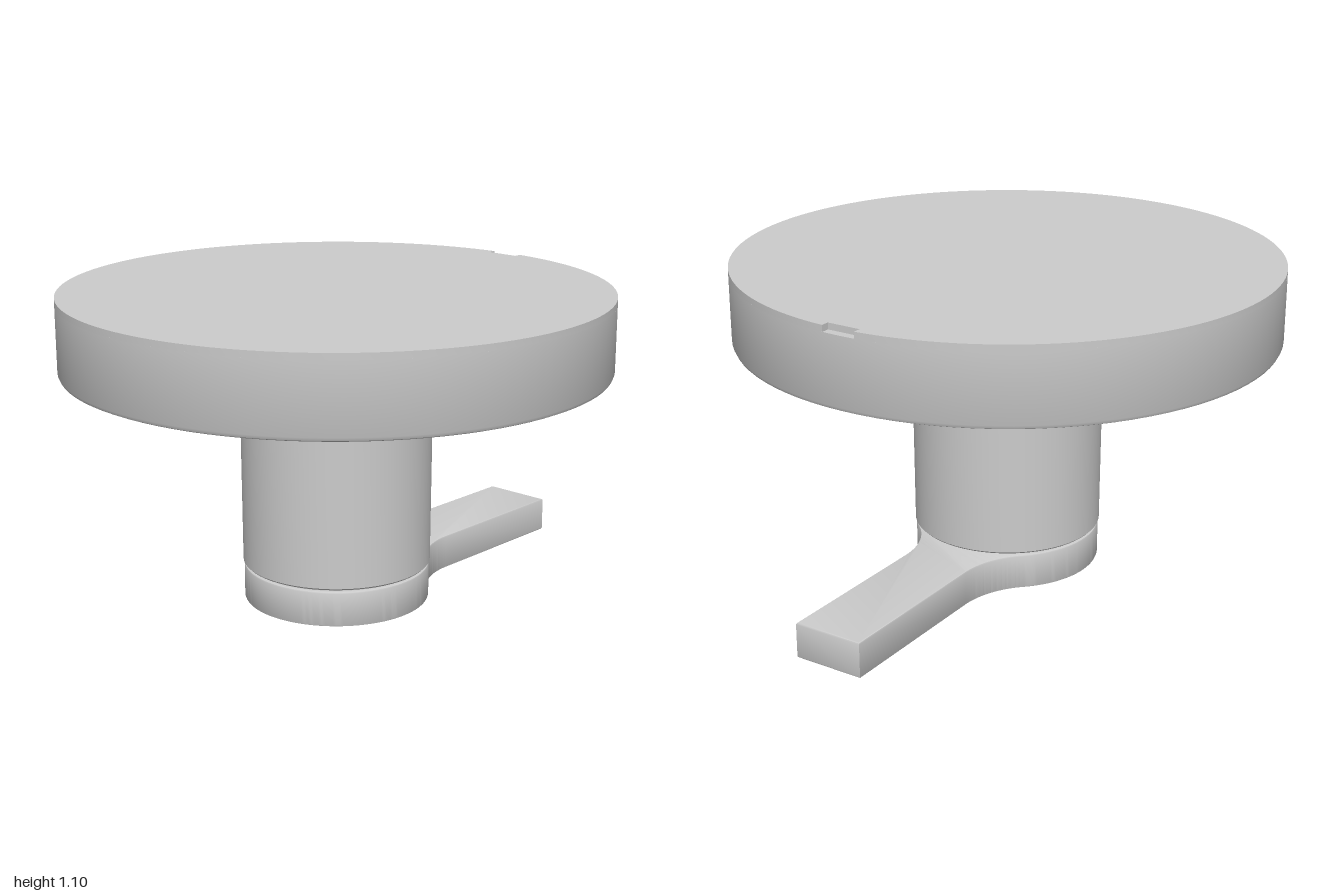
import * as THREE from 'three';
import { toCreasedNormals } from 'three/addons/utils/BufferGeometryUtils.js';

const AXIS_Z = 0.052; // the round parts share this vertical axis
const material = new THREE.MeshStandardMaterial({ color: 0xcccccc, side: THREE.DoubleSide });

function addMesh(group, name, geometry) {
  const mesh = new THREE.Mesh(toCreasedNormals(geometry, 0.6), material);
  mesh.name = name;
  group.add(mesh);
  return mesh;
}

// Turned part from [radius, y] pairs
function addTurned(group, name, profile, segments) {
  const points = profile.map(([r, y]) => new THREE.Vector2(r, y));
  addMesh(group, name, new THREE.LatheGeometry(points, segments)).position.z = AXIS_Z;
}

// Plan outline (shape y points to the back) raised from y0 to y1
function raise(shape, y0, y1, bevel) {
  const geometry = new THREE.ExtrudeGeometry(shape, {
    depth: y1 - y0 - 2 * bevel, curveSegments: 64,
    bevelEnabled: bevel > 0, bevelThickness: bevel, bevelSize: bevel,
    bevelOffset: -bevel, bevelSegments: 2,
  });
  return geometry.rotateX(-Math.PI / 2).translate(0, y0 + bevel, 0);
}

// Round hub that flows through two fillets into a straight arm
function leverShape() {
  const R = 0.326, half = 0.125, fillet = 0.3, end = 1;
  const dz = Math.sqrt((R + fillet) ** 2 - (half + fillet) ** 2);
  const a = Math.atan2(dz, half + fillet);
  const s = new THREE.Shape();
  s.moveTo(half, end);
  s.lineTo(half, dz - AXIS_Z);
  s.absarc(half + fillet, dz - AXIS_Z, fillet, Math.PI, Math.PI + a, false);
  s.absarc(0, -AXIS_Z, R, a, Math.PI - a, true);
  s.absarc(-half - fillet, dz - AXIS_Z, fillet, -a, 0, false);
  s.lineTo(-half, end);
  s.closePath();
  return s;
}

// Full circle with a small rectangular notch at the back edge
function notchedCircle(R, half, depth) {
  const a = Math.acos(half / R);
  const s = new THREE.Shape();
  s.absarc(0, 0, R, Math.PI - a, 2 * Math.PI + a, false);
  s.lineTo(half, R - depth);
  s.lineTo(-half, R - depth);
  s.closePath();
  return s;
}

export function createModel() {
  const model = new THREE.Group();
  model.name = 'knobWithLever';

  // Lever plate and the recessed collar above it
  addMesh(model, 'lever', raise(leverShape(), 0, 0.125, 0.006));
  addTurned(model, 'collar', [[0.31, 0.12], [0.31, 0.14]], 64);

  // Column, very slightly wider towards the top
  addTurned(model, 'column', [[0, 0.132], [0.324, 0.132], [0.33, 0.138], [0.334, 0.835]], 64);

  // Large disc with a softened lower edge
  const R = 0.946, top = 1.1, notchFloor = 1.078;
  addTurned(model, 'disc', [
    [0, 0.83], [R - 0.016, 0.83], [R - 0.005, 0.835], [R, 0.846], [R, notchFloor], [0, notchFloor],
  ], 96);

  // Top layer of the disc, carrying the notch
  const cap = addMesh(model, 'notchedDiscTop', raise(notchedCircle(R, 0.06, 0.03), notchFloor, top, 0));
  cap.position.z = AXIS_Z;

  return model;
}
